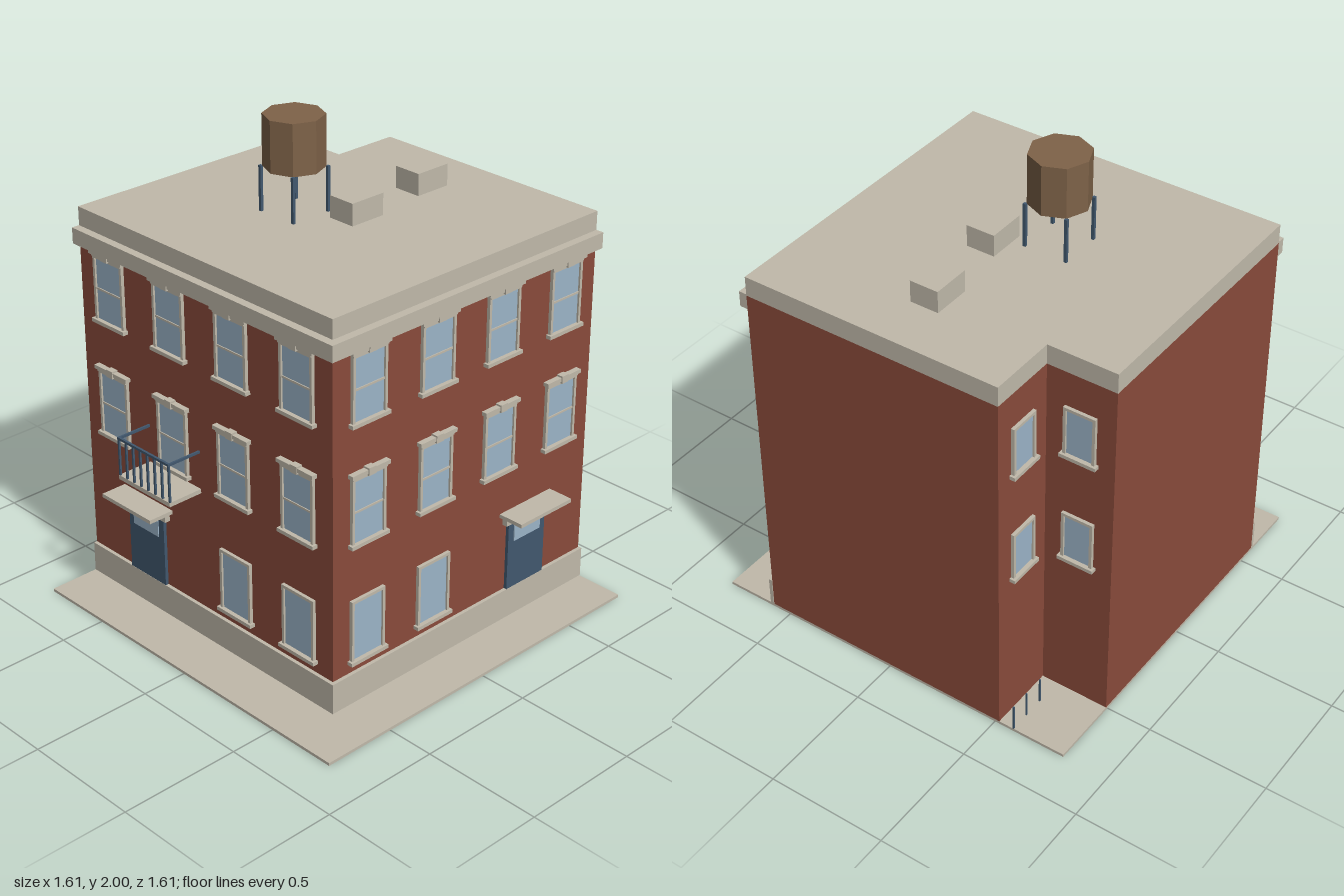
import * as THREE from 'three';

const mat = (name, color) => {
  const m = new THREE.MeshStandardMaterial({ color });
  m.name = name;
  return m;
};

export function createModel() {
  const brick = mat('brick', 0x8a4b3b);
  const stone = mat('stone', 0xc0b9aa);
  const glass = mat('glass', 0x9cb4c8);
  const iron = mat('darkBlue', 0x41586e);
  const wood = mat('wood', 0x7e6248);
  wood.flatShading = true;

  const model = new THREE.Group();
  model.name = 'cornerBuilding';

  // Box given by its min and max corners
  const box = (parent, name, m, x0, x1, y0, y1, z0, z1) => {
    const mesh = new THREE.Mesh(new THREE.BoxGeometry(x1 - x0, y1 - y0, z1 - z0), m);
    mesh.position.set((x0 + x1) / 2, (y0 + y1) / 2, (z0 + z1) / 2);
    mesh.name = name;
    parent.add(mesh);
    return mesh;
  };
  const subgroup = (parent, name, x = 0, y = 0, z = 0, turn = 0) => {
    const g = new THREE.Group();
    g.name = name;
    g.position.set(x, y, z);
    g.rotation.y = turn;
    parent.add(g);
    return g;
  };

  // Pavement
  box(model, 'pavement', stone, -0.81, 0.8, 0, 0.012, -0.81, 0.8);

  // Walls and parapet share a footprint with one notched back corner
  const footprint = new THREE.Shape([
    [-0.58, -0.58], [0.8, -0.58], [0.8, 0.52], [0.51, 0.52], [0.51, 0.81], [-0.58, 0.81],
  ].map(([x, y]) => new THREE.Vector2(x, y)));
  const storey = (name, m, y0, y1) => {
    const geo = new THREE.ExtrudeGeometry(footprint, { depth: y1 - y0, bevelEnabled: false });
    geo.rotateX(-Math.PI / 2);
    const mesh = new THREE.Mesh(geo, m);
    mesh.position.y = y0;
    mesh.name = name;
    model.add(mesh);
  };
  storey('walls', brick, 0.012, 1.53);
  storey('parapet', stone, 1.53, 1.612);

  // Plinth and cornice along the two street sides
  box(model, 'frontPlinth', stone, -0.595, 0.803, 0.012, 0.14, 0.58, 0.595);
  box(model, 'sidePlinth', stone, -0.595, -0.58, 0.012, 0.14, -0.81, 0.58);
  box(model, 'frontCornice', stone, -0.614, 0.8, 1.47, 1.535, 0.58, 0.614);
  box(model, 'sideCornice', stone, -0.614, -0.58, 1.47, 1.535, -0.81, 0.58);

  // Window built on a local wall plane z = 0, standing on its sill at y = 0
  const addWindow = (parent, u, y, w, h, ornate) => {
    const g = subgroup(parent, 'window', u, y, 0);
    const r = w / 2, t = 0.012, d = 0.014;
    box(g, 'glass', glass, -r + t, r - t, 0.014, h - t, 0, 0.006);
    for (const s of [-1, 1]) {
      const c = s * (r - t / 2);
      box(g, 'frameSide', stone, c - t / 2, c + t / 2, 0.014, h, 0, d);
    }
    box(g, 'frameTop', stone, -r + t, r - t, h - t, h, 0, d);
    box(g, 'sill', stone, -r - 0.01, r + 0.01, 0, 0.015, 0, 0.024);
    if (ornate) {
      box(g, 'sashBar', stone, -r + t, r - t, 0.138, 0.146, 0, 0.01);
      box(g, 'lintel', stone, -r - 0.01, r + 0.01, h + 0.004, h + 0.02, 0, 0.024);
      box(g, 'lintelBase', stone, -r, r, h - 0.006, h + 0.004, 0, 0.018);
      box(g, 'keystone', stone, -0.018, 0.018, h - 0.004, h + 0.027, 0, 0.028);
    }
  };

  // Door with fanlight, header and canopy
  const addDoor = (parent, u) => {
    const g = subgroup(parent, 'door', u);
    box(g, 'doorLeaf', iron, -0.105, 0.105, 0.14, 0.438, 0, 0.014);
    box(g, 'doorGlass', glass, -0.075, 0.075, 0.35, 0.42, 0.014, 0.018);
    box(g, 'doorHeader', stone, -0.128, 0.128, 0.438, 0.466, 0, 0.024);
    box(g, 'canopy', stone, -0.145, 0.145, 0.475, 0.491, 0, 0.112);
  };

  // Street facades: side is the sign of the end that holds the door
  const addFacade = (name, x, z, turn, side) => {
    const g = subgroup(model, name, x, 0, z, turn);
    for (const u of [-0.52, -0.173, 0.173, 0.52]) {
      if (u * side < 0) addWindow(g, u, 0.18, 0.17, 0.272, false);
      addWindow(g, u, 0.678, 0.17, 0.284, true);
      addWindow(g, u, 1.168, 0.17, 0.28, true);
    }
    addDoor(g, side * 0.346);
    return g;
  };
  addFacade('frontFacade', 0.11, 0.58, 0, 1);
  const sideFacade = addFacade('sideFacade', -0.58, -0.115, -Math.PI / 2, -1);

  // Balcony on the side facade
  const balcony = subgroup(sideFacade, 'balcony', -0.173);
  box(balcony, 'balconyFloor', stone, -0.15, 0.15, 0.642, 0.66, 0, 0.155);
  box(balcony, 'frontRail', iron, -0.15, 0.15, 0.814, 0.824, 0.145, 0.155);
  for (const s of [-1, 1]) {
    const c = s * 0.146;
    box(balcony, 'sideRail', iron, c - 0.004, c + 0.004, 0.814, 0.824, 0, 0.145);
  }
  for (let i = 0; i < 8; i++) {
    const c = -0.146 + i * 0.292 / 7;
    box(balcony, 'baluster', iron, c - 0.004, c + 0.004, 0.66, 0.814, 0.146, 0.154);
  }

  // Small windows in the notch
  const notchSide = subgroup(model, 'notchSideWall', 0.51, 0, -0.665, Math.PI / 2);
  const notchBack = subgroup(model, 'notchBackWall', 0.657, 0, -0.52, Math.PI);
  for (const g of [notchSide, notchBack])
    for (const y of [0.68, 1.165]) addWindow(g, 0, y, 0.134, 0.22, false);

  // Yard posts
  for (const x of [0.625, 0.713, 0.797])
    box(model, 'yardPost', iron, x - 0.003, x + 0.003, 0.012, 0.125, -0.587, -0.581);

  // Rooftop boxes
  box(model, 'roofBox', stone, 0.03, 0.19, 1.612, 1.702, -0.07, 0.05);
  box(model, 'roofBox', stone, 0.42, 0.58, 1.612, 1.702, -0.11, 0.01);

  // Water tank on four legs
  const tank = subgroup(model, 'waterTank', -0.02, 0, -0.21);
  const barrel = new THREE.Mesh(new THREE.CylinderGeometry(0.12, 0.12, 0.207, 8), wood);
  barrel.position.y = 1.8965;
  barrel.name = 'tankBarrel';
  tank.add(barrel);
  for (const x of [-0.089, 0.089])
    for (const z of [-0.089, 0.089])
      box(tank, 'tankLeg', iron, x - 0.006, x + 0.006, 1.612, 1.795, z - 0.006, z + 0.006);

  return model;
}
